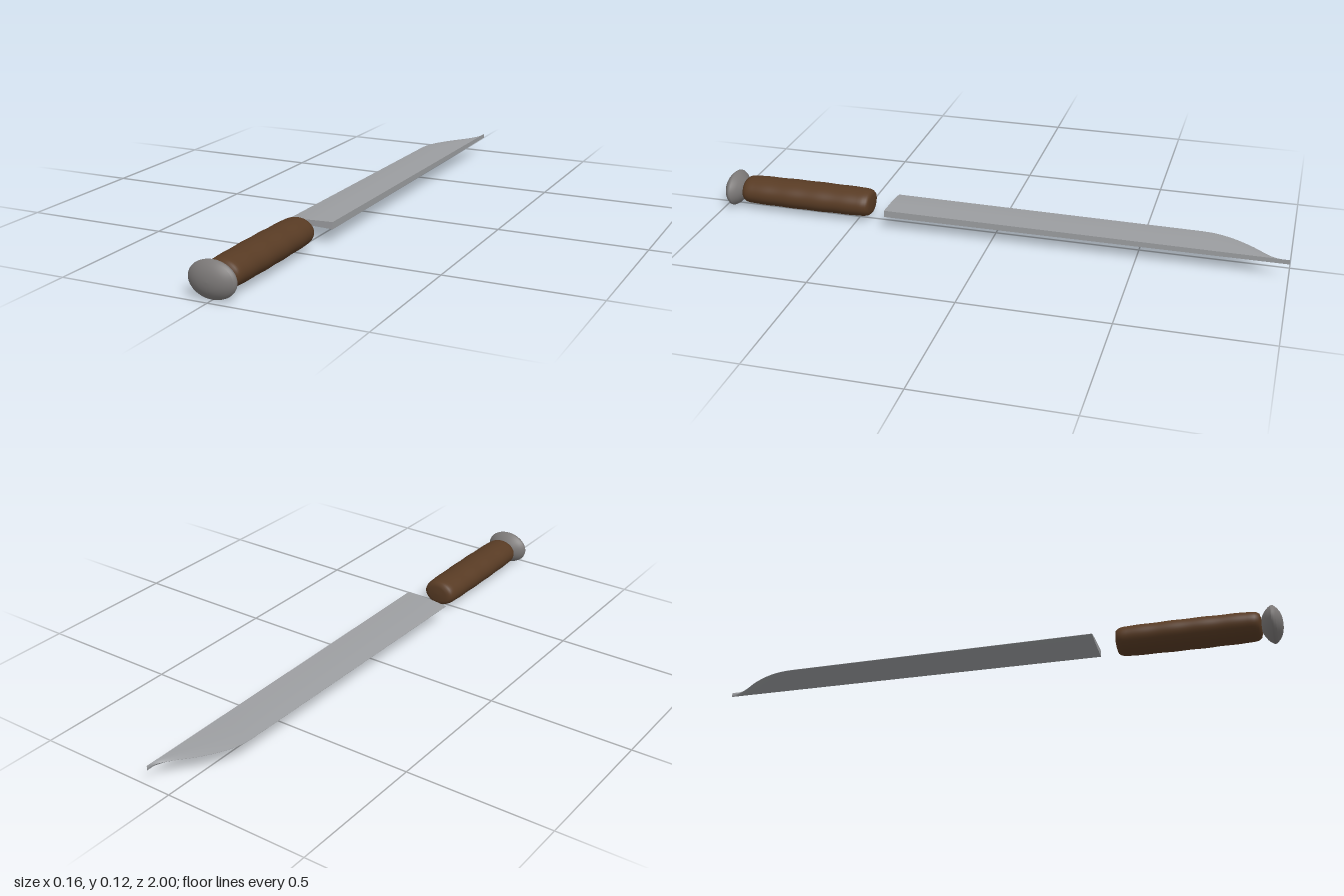
import * as THREE from 'three';

const CENTRE_Y = 0.06;

const steel = new THREE.MeshStandardMaterial({ color: 0x9c9ea1, side: THREE.DoubleSide });
steel.name = 'blade steel';
const iron = new THREE.MeshStandardMaterial({ color: 0x7c7978 });
iron.name = 'pommel iron';
const wood = new THREE.MeshStandardMaterial({ color: 0x583b24 });
wood.name = 'brown grip';

// Oval turned part along z; profile is [radius, z], squashed in y
function ovalLathe(name, profile, squash, material) {
  const points = profile.map(([r, z]) => new THREE.Vector2(r, z));
  const geometry = new THREE.LatheGeometry(points, 48);
  geometry.rotateX(Math.PI / 2);
  geometry.scale(1, squash, 1);
  geometry.computeVertexNormals();
  const mesh = new THREE.Mesh(geometry, material);
  mesh.name = name;
  mesh.position.y = CENTRE_Y;
  return mesh;
}

// Smooth strip surface through rows of equally many points
function loft(rows) {
  const n = rows[0].length;
  const index = [];
  for (let i = 0; i < rows.length - 1; i++) {
    for (let j = 0; j < n - 1; j++) {
      const a = i * n + j, b = a + n;
      index.push(a, a + 1, b, b, a + 1, b + 1);
    }
  }
  const geometry = new THREE.BufferGeometry();
  geometry.setAttribute('position', new THREE.Float32BufferAttribute(rows.flat(2), 3));
  geometry.setIndex(index);
  geometry.computeVertexNormals();
  return geometry;
}

function createBlade() {
  const blade = new THREE.Group();
  blade.name = 'blade';
  const spineX = 0.08, y = 0.063;

  // Cutting edge as [x, z], straight and then sweeping up to the point
  const tip = new THREE.CatmullRomCurve3([
    [-0.07, -0.7], [-0.066, -0.74], [-0.05, -0.79], [-0.026, -0.835], [0.005, -0.88],
    [0.037, -0.917], [0.063, -0.952], [0.075, -0.975], [0.079, -1],
  ].map(([x, z]) => new THREE.Vector3(x, 0, z)));
  const edge = [];
  for (let i = 0; i < 8; i++) edge.push([-0.082 + 0.012 * i / 8, 0.38 - 1.08 * i / 8]);
  tip.getPoints(24).forEach((p) => edge.push([p.x, p.z]));

  // Half thickness across the width, from edge (0) to spine (1)
  const section = [[0, 0.0006], [0.15, 0.004], [0.35, 0.0078], [0.55, 0.0098], [0.8, 0.011], [1, 0.012]];
  const side = (sign) => edge.map(([x, z]) => {
    const taper = 1 - 0.35 * (0.38 - z) / 1.38;
    return section.map(([u, t]) => [x + (spineX - x) * u, y + sign * t * taper, z]);
  });
  const top = side(1), bottom = side(-1);
  const flip = (rows) => rows.map((row) => [...row].reverse());
  const last = edge.length - 1;
  const add = (name, rows) => {
    const mesh = new THREE.Mesh(loft(rows), steel);
    mesh.name = name;
    blade.add(mesh);
  };
  add('bladeTop', top);
  add('bladeUnderside', flip(bottom));
  add('bladeSpine', top.map((row, i) => [row.at(-1), bottom[i].at(-1)]));
  add('bladeEdge', top.map((row, i) => [bottom[i][0], row[0]]));
  add('bladeHeel', [bottom[0], top[0]]);
  add('bladePoint', [top[last], bottom[last]]);
  return blade;
}

function createGrip() {
  // Rounded ends with gentle finger swells between them
  const profile = [[0, 0.449], [0.035, 0.45], [0.049, 0.453], [0.056, 0.46], [0.0595, 0.47]];
  for (let i = 0; i <= 40; i++) {
    const t = i / 40;
    const swell = 0.0025 * Math.sin(Math.PI * t);
    const fingers = 0.0013 * (1 - Math.cos(t * Math.PI * 8)) * 0.5;
    profile.push([0.061 + swell + fingers, 0.48 + 0.42 * t]);
  }
  profile.push([0.0595, 0.911], [0.056, 0.92], [0.049, 0.927], [0.035, 0.93], [0, 0.931]);
  return ovalLathe('grip', profile, 0.77, wood);
}

function createPommel() {
  // Domed cap with a bevelled rim, tapering towards the grip
  const pommel = new THREE.Group();
  pommel.name = 'pommel';
  pommel.add(ovalLathe('pommelNeck', [
    [0, 0.929], [0.03, 0.931], [0.045, 0.937], [0.061, 0.946], [0.072, 0.955], [0.079, 0.964],
  ], 0.75, iron));
  pommel.add(ovalLathe('pommelRim', [[0.079, 0.964], [0.08, 0.968], [0.079, 0.972], [0.073, 0.978]], 0.75, iron));
  pommel.add(ovalLathe('pommelDome', [
    [0.073, 0.978], [0.064, 0.985], [0.05, 0.992], [0.034, 0.997], [0.016, 0.9995], [0, 1],
  ], 0.75, iron));
  return pommel;
}

export function createModel() {
  const knife = new THREE.Group();
  knife.name = 'knife';
  knife.add(createBlade(), createGrip(), createPommel());
  return knife;
}
